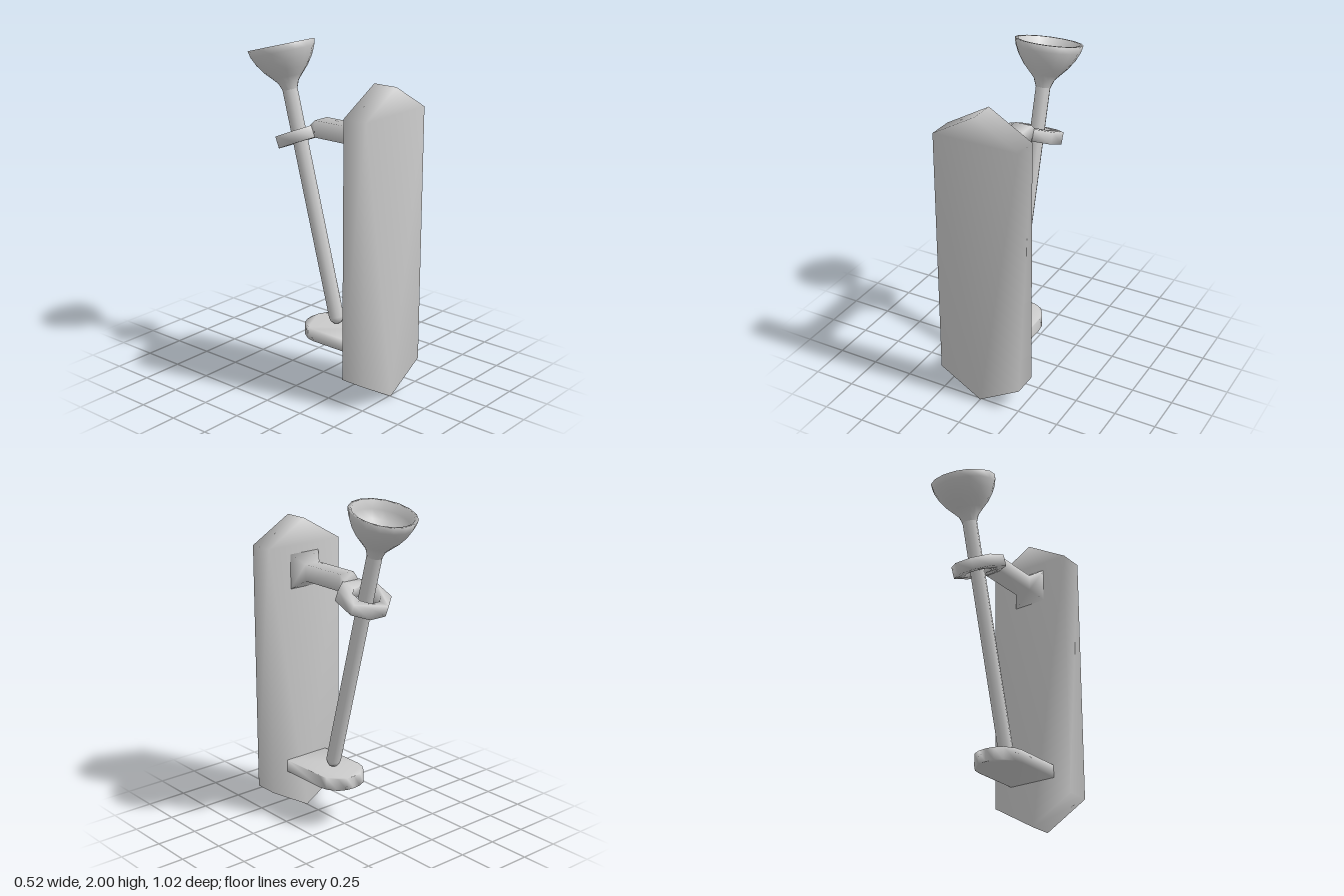
import * as THREE from 'three';
import { mergeVertices } from 'three/addons/utils/BufferGeometryUtils.js';

const material = new THREE.MeshStandardMaterial({ color: 0xcccccc });

function part(name, geometry) {
  const mesh = new THREE.Mesh(geometry, material);
  mesh.name = name;
  return mesh;
}

// Weld the corners so the shading rolls softly over the edges
function soften(geometry) {
  geometry.deleteAttribute('normal');
  geometry.deleteAttribute('uv');
  const welded = mergeVertices(geometry, 1e-4);
  welded.computeVertexNormals();
  return welded;
}

// Right half of an outline, bottom to top, mirrored across x = 0
function mirrored(half) {
  const left = half.filter(([x]) => x > 0).reverse().map(([x, y]) => [-x, y]);
  return [...half, ...left].map(([x, y]) => new THREE.Vector2(x, y));
}

function slab(half, depth, hole) {
  const shape = new THREE.Shape(mirrored(half));
  if (hole) shape.holes.push(new THREE.Path(mirrored(hole)));
  return new THREE.ExtrudeGeometry(shape, { depth, bevelEnabled: false });
}

function lathe(points, sides) {
  return new THREE.LatheGeometry(points.map(([r, y]) => new THREE.Vector2(r, y)), sides);
}

export function createModel() {
  const model = new THREE.Group();
  model.name = 'wallTorch';

  // Pointed backboard
  const board = slab([[0, 0], [0.26, 0.153], [0.26, 1.67], [0, 1.82]], 0.15);
  board.translate(0, 0, 0.36);
  model.add(part('backboard', soften(board)));

  // Round-nosed shelf under the handle
  const shelf = slab([[0.15, -0.365], [0.15, -0.05], [0.14, 0], [0.1, 0.06], [0.052, 0.083], [0, 0.09]], 0.075);
  shelf.rotateX(-Math.PI / 2).translate(0, 0.265, 0);
  model.add(part('shelf', soften(shelf)));

  // Arm flaring to a square foot: top z, bottom z, half width, bottom y, top y
  const stations = [
    [-0.058, -0.022, 0.052, 1.464, 1.53],
    [-0.02, -0.015, 0.052, 1.465, 1.565],
    [0.285, 0.285, 0.052, 1.465, 1.565],
    [0.362, 0.362, 0.105, 1.41, 1.62],
  ];
  const arm = new THREE.BoxGeometry(2, 2, 3, 1, 1, 3);
  const pos = arm.attributes.position;
  for (let i = 0; i < pos.count; i++) {
    const [zTop, zBottom, w, low, high] = stations[Math.round(pos.getZ(i) + 1.5)];
    const top = pos.getY(i) > 0;
    pos.setXYZ(i, pos.getX(i) * w, top ? high : low, top ? zTop : zBottom);
  }
  model.add(part('arm', soften(arm)));

  // Tilted eight-sided holder ring
  const ring = slab(
    [[0.052, -0.155], [0.14, -0.09], [0.14, 0.056], [0.057, 0.13]], 0.07,
    [[0.032, -0.075], [0.076, -0.035], [0.076, 0.032], [0.032, 0.075]]);
  ring.translate(0, 0, -0.035).rotateX(-Math.PI / 2);
  const holder = part('holderRing', soften(ring));
  holder.position.set(0, 1.44, -0.178);
  holder.rotation.x = -THREE.MathUtils.degToRad(22.5);
  model.add(holder);

  // Leaning torch: round-ended handle and hollow cup
  const torch = new THREE.Group();
  torch.name = 'torch';
  const r = 0.044;
  const handleProfile = [0, 30, 60, 90].map((deg) => {
    const a = THREE.MathUtils.degToRad(deg);
    return [r * Math.sin(a), -r * Math.cos(a)];
  });
  torch.add(part('handle', lathe([...handleProfile, [r, 1.4]], 8)));
  torch.add(part('cup', lathe([
    [0.043, 1.36], [0.06, 1.405], [0.088, 1.436], [0.127, 1.478], [0.163, 1.53], [0.186, 1.58], [0.195, 1.62],
    [0.176, 1.62], [0.164, 1.57], [0.135, 1.525], [0.085, 1.48], [0, 1.465],
  ], 16)));
  torch.position.set(0, 0.388, 0.1);
  torch.rotation.x = -THREE.MathUtils.degToRad(15);
  model.add(torch);

  return model;
}
